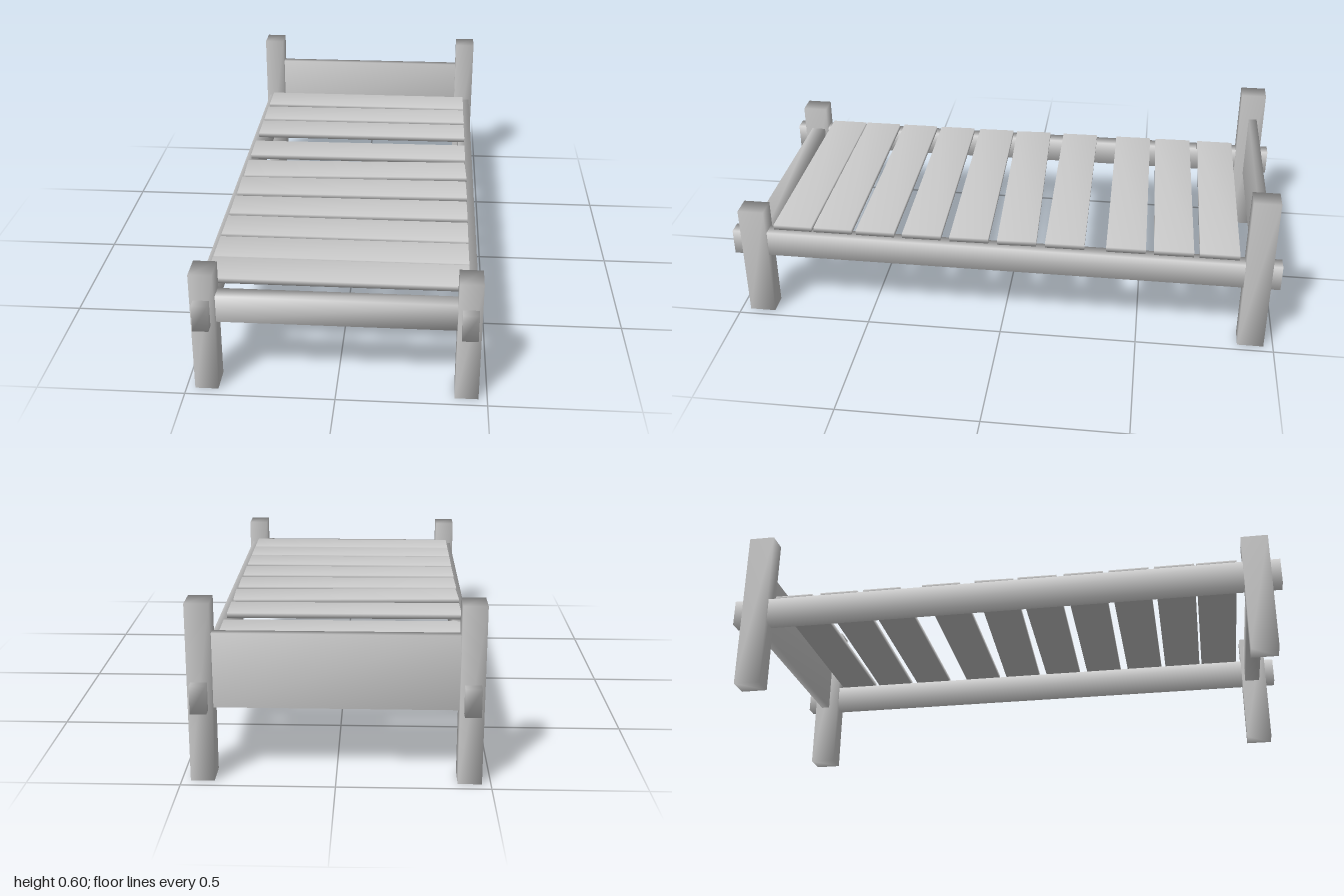
import * as THREE from 'three';
import { mergeVertices } from 'three/addons/utils/BufferGeometryUtils.js';

const material = new THREE.MeshStandardMaterial({ color: 0xcccccc });

// Box whose corners share softened normals
function softBox(name, w, h, d, x, y, z) {
  let geo = new THREE.BoxGeometry(w, h, d);
  geo.deleteAttribute('normal');
  geo.deleteAttribute('uv');
  geo = mergeVertices(geo);
  geo.computeVertexNormals();
  const mesh = new THREE.Mesh(geo, material);
  mesh.name = name;
  mesh.position.set(x, y, z);
  return mesh;
}

export function createModel() {
  const bed = new THREE.Group();
  bed.name = 'bedFrame';

  // Corner posts and side rails, mirrored left and right
  for (const [side, s] of [['left', 1], ['right', -1]]) {
    bed.add(softBox(side + 'FootPost', 0.078, 0.433, 0.095, s * 0.432, 0.2165, 0.918));
    bed.add(softBox(side + 'HeadPost', 0.078, 0.6, 0.095, s * 0.432, 0.3, -0.918));
    bed.add(softBox(side + 'SideRail', 0.053, 0.095, 2, s * 0.433, 0.2925, 0));
  }

  // End boards between the posts
  bed.add(softBox('headboard', 0.79, 0.25, 0.032, 0, 0.37, -0.923));
  bed.add(softBox('footboard', 0.79, 0.095, 0.056, 0, 0.2925, 0.91));

  // Slats: z of the right end and z of the left end, laid slightly askew
  const slats = [
    [-0.78, -0.78], [-0.606, -0.618], [-0.442, -0.447], [-0.218, -0.227], [-0.02, -0.053],
    [0.139, 0.122], [0.307, 0.297], [0.47, 0.47], [0.632, 0.629], [0.78, 0.78],
  ];
  const length = 0.87;
  slats.forEach(([zRight, zLeft], i) => {
    const slat = softBox('slat' + (i + 1), length, 0.019, 0.142, -0.004, 0.3495, (zRight + zLeft) / 2);
    slat.rotation.y = Math.atan2(zRight - zLeft, length);
    bed.add(slat);
  });

  return bed;
}
